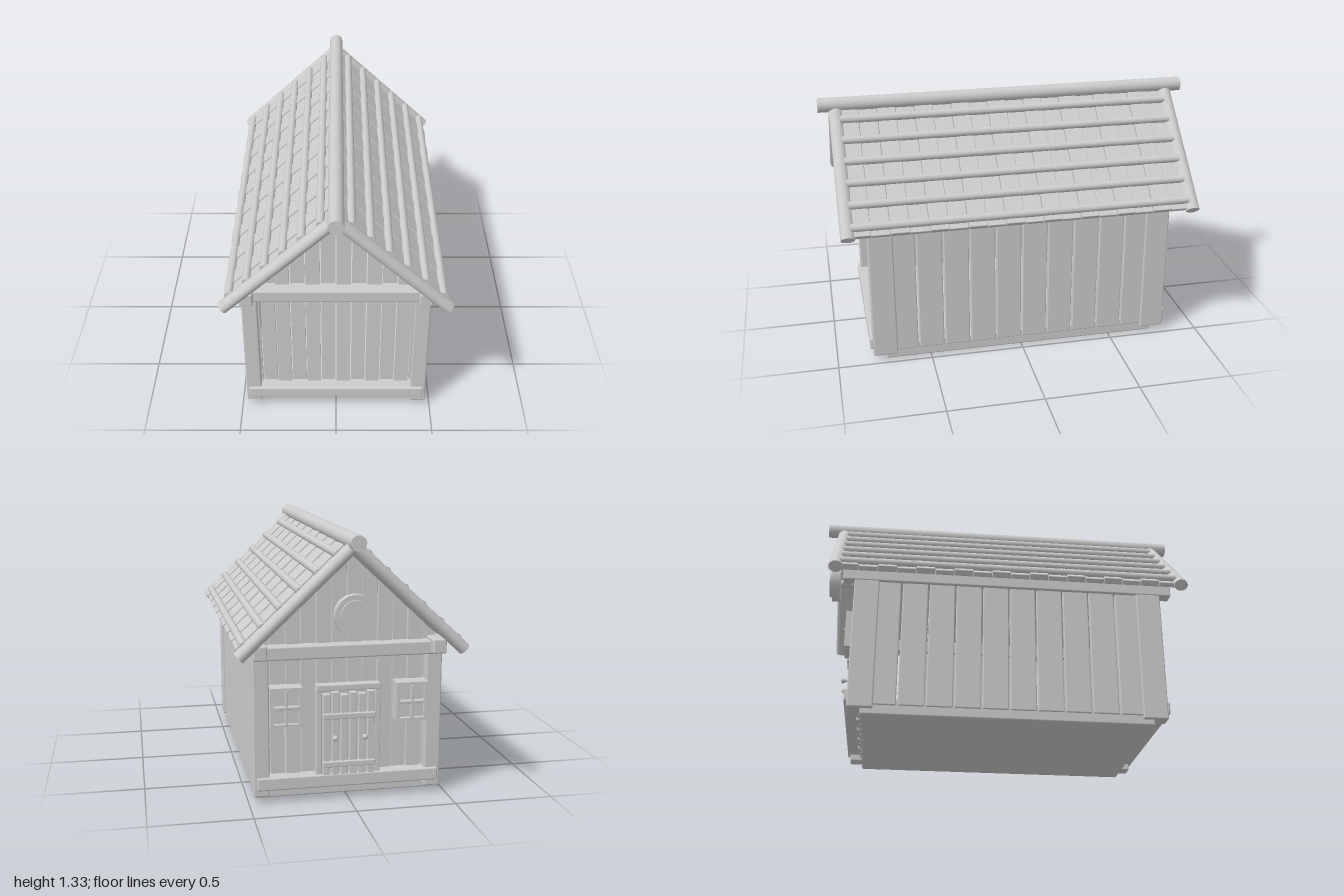
import * as THREE from 'three';
import { RoundedBoxGeometry } from 'three/addons/geometries/RoundedBoxGeometry.js';

const wood = new THREE.MeshStandardMaterial({ color: 0xcccccc });
wood.name = 'plain grey wood';

function add(parent, name, geometry, x = 0, y = 0, z = 0) {
  const mesh = new THREE.Mesh(geometry, wood);
  mesh.name = name;
  mesh.position.set(x, y, z);
  parent.add(mesh);
  return mesh;
}

// Softened box given by its extents on each axis
function beam(parent, name, [x0, x1], [y0, y1], [z0, z1], r = 0.008) {
  const w = x1 - x0, h = y1 - y0, d = z1 - z0;
  const geo = new RoundedBoxGeometry(w, h, d, 2, Math.min(r, Math.min(w, h, d) * 0.3));
  return add(parent, name, geo, (x0 + x1) / 2, (y0 + y1) / 2, (z0 + z1) / 2);
}

// Pole along the chosen axis
function pole(parent, name, r, length, axis, x, y, z) {
  const geo = new THREE.CylinderGeometry(r, r, length, 16);
  if (axis === 'x') geo.rotateZ(Math.PI / 2);
  if (axis === 'z') geo.rotateX(Math.PI / 2);
  return add(parent, name, geo, x, y, z);
}

// End wall facing +z: upright planks cut to the roof line, with cross beams
function endWall() {
  const g = new THREE.Group();
  const step = 0.077, gap = 0.003;
  const roofY = x => 1.235 - 0.934 * Math.abs(x);
  for (let i = -6; i < 6; i++) {
    const a = i * step + gap, b = (i + 1) * step - gap;
    const s = new THREE.Shape();
    s.moveTo(a, 0.05);
    s.lineTo(b, 0.05);
    s.lineTo(b, roofY(b));
    s.lineTo(a, roofY(a));
    const geo = new THREE.ExtrudeGeometry(s, { depth: 0.03, bevelEnabled: false });
    add(g, 'gablePlank', geo, 0, 0, i % 2 ? 0.725 : 0.735);
  }
  beam(g, 'lowerCrossBeam', [-0.46, 0.46], [0.065, 0.13], [0.74, 0.825]);
  beam(g, 'upperCrossBeam', [-0.43, 0.43], [0.72, 0.787], [0.74, 0.825]);
  return g;
}

// Long wall facing +x
function sideWall() {
  const g = new THREE.Group();
  const step = 0.1408;
  for (let i = 0; i < 10; i++) {
    const z = -0.704 + i * step;
    beam(g, 'sidePlank', [0.43, 0.464], [0.05, 0.74], [z + 0.004, z + step - 0.004], 0.006);
  }
  beam(g, 'wallPlate', [0.41, 0.478], [0.73, 0.803], [-0.87, 0.87]);
  for (const s of [-1, 1])
    beam(g, 'cornerPost', [0.395, 0.475], [0.03, 0.74], s > 0 ? [0.68, 0.81] : [-0.81, -0.68]);
  return g;
}

// Roof slope falling towards +x; local x runs down the slope, local y is outward
function roofSlope() {
  const g = new THREE.Group();
  const angle = Math.atan(0.934), length = 0.755;
  g.position.y = 1.276;
  g.rotation.z = -angle;
  const count = 18, w = 1.78 / count;
  for (let i = 0; i < count; i++) {
    const z = -0.89 + i * w, lift = i % 2 ? 0.007 : 0;
    beam(g, 'roofBoard', [0, length - 0.01], [-0.018, 0.008 + lift], [z + 0.001, z + w - 0.001], 0.004);
  }
  for (let i = 0; i < 6; i++)
    pole(g, 'roofBatten', 0.021, 1.78, 'z', (0.06 + i * 0.09) / Math.cos(angle), 0.018, 0);
  for (const s of [-1, 1]) {
    const p = pole(g, 'vergePole', 0.031, length, 'x', length / 2, 0, s * 0.908);
    p.scale.z = 1.18;
  }
  return g;
}

// Window facing +z: frame, pane and crossing bars
function window_() {
  const g = new THREE.Group();
  const w = 0.08, h = 0.1, t = 0.018;
  const s = new THREE.Shape();
  s.moveTo(-w, -h); s.lineTo(w, -h); s.lineTo(w, h); s.lineTo(-w, h);
  const hole = new THREE.Path();
  hole.moveTo(t - w, t - h); hole.lineTo(t - w, h - t);
  hole.lineTo(w - t, h - t); hole.lineTo(w - t, t - h);
  s.holes.push(hole);
  add(g, 'windowFrame', new THREE.ExtrudeGeometry(s, { depth: 0.085, bevelEnabled: false }), 0, 0, 0.76);
  beam(g, 'windowPane', [-0.066, 0.066], [-0.086, 0.086], [0.77, 0.822], 0.002);
  beam(g, 'windowBar', [-0.007, 0.007], [-0.085, 0.085], [0.82, 0.848], 0.003);
  beam(g, 'windowBar', [-0.065, 0.065], [-0.007, 0.007], [0.82, 0.85], 0.003);
  return g;
}

// Double plank door facing +z
function door() {
  const g = new THREE.Group();
  for (const s of [-1, 1]) {
    beam(g, 'doorJamb', [s * 0.148 - 0.014, s * 0.148 + 0.014], [0.12, 0.57], [0.76, 0.81], 0.004);
    add(g, 'doorKnob', new THREE.SphereGeometry(0.014, 12, 8), s * 0.075, 0.325, 0.853);
    pole(g, 'knobStem', 0.006, 0.04, 'z', s * 0.075, 0.325, 0.832);
  }
  beam(g, 'doorLintel', [-0.16, 0.16], [0.555, 0.585], [0.76, 0.815], 0.004);
  beam(g, 'doorBacking', [-0.138, 0.138], [0.12, 0.56], [0.76, 0.79], 0.003);
  const drop = [0.01, 0, 0.015, 0.005, 0.012, 0];
  drop.forEach((d, i) => {
    const x = -0.135 + i * 0.045;
    beam(g, 'doorPlank', [x + 0.004, x + 0.041], [0.1 + d, 0.55 - d], [0.78, 0.822], 0.004);
  });
  for (const y of [0.185, 0.43])
    beam(g, 'doorRail', [-0.132, 0.132], [y - 0.014, y + 0.014], [0.8, 0.838], 0.004);
  return g;
}

export function createModel() {
  const model = new THREE.Group();
  model.name = 'woodenCabin';
  const place = (name, group, turn = 0) => {
    group.name = name;
    group.rotation.y = turn;
    model.add(group);
    return group;
  };

  beam(model, 'foundation', [-0.458, 0.458], [0, 0.088], [-0.742, 0.742]);
  place('frontWall', endWall());
  place('backWall', endWall(), Math.PI);
  place('leftWall', sideWall());
  place('rightWall', sideWall(), Math.PI);

  // Roof
  const leftRoof = new THREE.Group(), rightRoof = new THREE.Group();
  leftRoof.add(roofSlope());
  rightRoof.add(roofSlope());
  place('leftRoof', leftRoof);
  place('rightRoof', rightRoof, Math.PI);
  pole(model, 'ridgePole', 0.038, 2, 'z', 0, 1.295, 0);

  // Entrance side, built facing +z and turned to the back
  const entrance = place('entrance', new THREE.Group(), Math.PI);
  const d = door();
  d.name = 'door';
  entrance.add(d);
  for (const s of [-1, 1]) {
    const w = window_();
    w.name = 'window';
    w.position.set(s * 0.315, 0.488, 0);
    entrance.add(w);
  }
  pole(entrance, 'roundPlaqueRim', 0.102, 0.045, 'z', 0, 0.95, 0.933);
  pole(entrance, 'roundPlaqueFace', 0.078, 0.03, 'z', 0, 0.95, 0.955);
  pole(entrance, 'plaquePeg', 0.02, 0.18, 'z', 0, 0.95, 0.84);
  return model;
}
